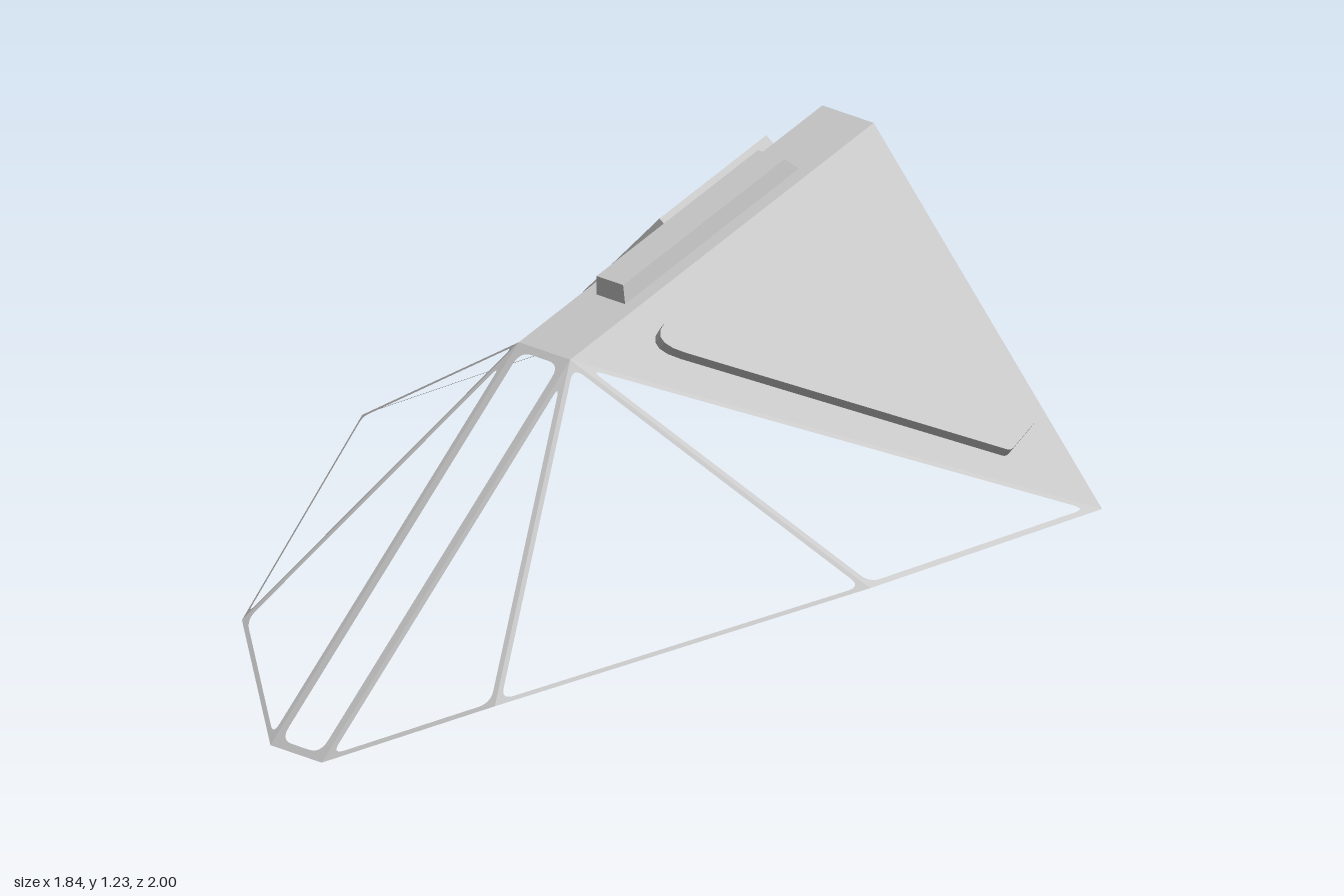
import * as THREE from 'three';

const V = (x, y, z) => new THREE.Vector3(x, y, z);

// Polygon normal (Newell's rule)
function normalOf(pts) {
  const n = V(0, 0, 0);
  pts.forEach((p, i) => n.add(p.clone().cross(pts[(i + 1) % pts.length])));
  return n.normalize();
}

// Order a loop so that its face looks upward and outward
const faceUp = (pts) => (normalOf(pts).y < 0 ? [...pts].reverse() : pts);

// Flat face through coplanar points, with an optional opening
function faceGeometry(points, hole) {
  const pts = faceUp(points);
  const n = normalOf(pts);
  const u = pts[1].clone().sub(pts[0]).normalize();
  const v = n.clone().cross(u);
  const o = pts[0];
  const flat = (p) => {
    const d = p.clone().sub(o);
    return new THREE.Vector2(d.dot(u), d.dot(v));
  };
  const shape = new THREE.Shape(pts.map(flat));
  if (hole) shape.holes.push(new THREE.Path(hole.map(flat)));
  const m = new THREE.Matrix4().makeBasis(u, v, n).setPosition(o);
  return new THREE.ShapeGeometry(shape).applyMatrix4(m);
}

// Side walls between two loops of the same length
function wallGeometry(base, cap) {
  const flip = normalOf(base).y < 0;
  const a = flip ? [...base].reverse() : base;
  const b = flip ? [...cap].reverse() : cap;
  const tris = [];
  a.forEach((p, i) => {
    const j = (i + 1) % a.length;
    tris.push(p, a[j], b[j], p, b[j], b[i]);
  });
  const g = new THREE.BufferGeometry().setFromPoints(tris);
  g.computeVertexNormals();
  return g;
}

// Round each corner of a loop; cuts gives the trimmed length per corner
function roundLoop(pts, cuts) {
  const out = [];
  pts.forEach((p, i) => {
    const cut = Array.isArray(cuts) ? cuts[i] : cuts;
    if (!cut) { out.push(p); return; }
    const prev = pts[(i + pts.length - 1) % pts.length];
    const next = pts[(i + 1) % pts.length];
    const a = p.clone().add(prev.clone().sub(p).setLength(cut));
    const b = p.clone().add(next.clone().sub(p).setLength(cut));
    out.push(...new THREE.QuadraticBezierCurve3(a, p, b).getPoints(6));
  });
  return out;
}

// Shrink a convex loop by an even border
function insetLoop(pts, w) {
  return pts.map((p, i) => {
    const d1 = pts[(i + pts.length - 1) % pts.length].clone().sub(p).normalize();
    const d2 = pts[(i + 1) % pts.length].clone().sub(p).normalize();
    const s = w / d1.clone().cross(d2).length();
    return p.clone().add(d1.add(d2).multiplyScalar(s));
  });
}

export function createModel() {
  const group = new THREE.Group();
  const grey = new THREE.MeshStandardMaterial({ color: 0xc8c8c8, side: THREE.DoubleSide });
  const add = (name, geometry) => {
    const mesh = new THREE.Mesh(geometry, grey);
    mesh.name = name;
    group.add(mesh);
  };

  // Corners of the canopy on side s (+1 left, -1 right)
  const corners = (s) => ({
    roofBack: V(0.093 * s, 1.23, -1),
    roofFront: V(0.093 * s, 0.867, 0.1),
    rear: V(0.92 * s, 0.39, -1),
    side: V(0.92 * s, 0.39, -0.16),
    cheek: V(0.458 * s, 0.18, 0.738),
    nose: V(0.093 * s, 0, 1),
  });
  const L = corners(1), R = corners(-1);

  // Window frame: a flat face with a rounded opening
  const frame = (name, pts, border, cut) =>
    add(name, faceGeometry(pts, roundLoop(insetLoop(pts, border), cut)));

  // Raised hollow cover standing on an opening in its panel
  const raisedPanel = (name, coverName, outline, base, cap) => {
    add(name, faceGeometry(outline, base));
    add(coverName + 'Walls', wallGeometry(base, cap));
    add(coverName + 'Top', faceGeometry(cap));
  };

  // Cover outlines as [x, z, corner trim], measured on the raised top
  const covers = {
    left: [[0.175, -0.794, 0], [0.249, -0.931, 0], [0.746, -0.931, 0],
      [0.76, -0.83, 0.012], [0.175, -0.077, 0.12]],
    right: [[-0.767, -0.9, 0], [-0.196, -0.9, 0], [-0.196, -0.513, 0],
      [-0.43, -0.443, 0.07], [-0.755, -0.85, 0.012]],
  };

  for (const [label, c] of [['left', L], ['right', R]]) {
    // Solid side panel with its cover
    const outline = faceUp([c.roofBack, c.roofFront, c.rear]);
    const n = normalOf(outline);
    const lift = n.clone().multiplyScalar(0.038);
    const plane = new THREE.Plane().setFromNormalAndCoplanarPoint(n, c.rear);
    const top = covers[label].map(([x, z]) => {
      const y = -(plane.constant + n.x * x + n.z * z) / n.y + 0.038 / n.y;
      return V(x, y, z);
    });
    const cap = roundLoop(top, covers[label].map((p) => p[2]));
    const base = cap.map((p) => p.clone().sub(lift));
    raisedPanel(label + 'SidePanel', label + 'SideCover', outline, base, cap);

    // Open window frames
    frame(label + 'SideWindowFrame', [c.roofFront, c.rear, c.side], 0.017, 0.035);
    frame(label + 'CheekWindowFrame', [c.roofFront, c.side, c.cheek], 0.012, 0.035);
    frame(label + 'FrontWindowFrame', [c.roofFront, c.cheek, c.nose], 0.014, 0.035);
  }

  // Narrow centre window
  frame('centreWindowFrame', [L.roofFront, R.roofFront, R.nose, L.nose], 0.022, 0.04);

  // Roof strip with its long hatch
  const roofY = (z) => 0.867 + (0.363 * (0.1 - z)) / 1.1;
  const rect = (w, front, back) => [
    V(w, front[1], front[0]), V(w, back[1], back[0]),
    V(-w, back[1], back[0]), V(-w, front[1], front[0]),
  ];
  raisedPanel('roofPanel', 'roofHatch',
    [L.roofFront, L.roofBack, R.roofBack, R.roofFront],
    rect(0.052, [-0.14, roofY(-0.14)], [-0.77, roofY(-0.77)]),
    rect(0.048, [-0.137, 0.998], [-0.722, 1.191]));

  return group;
}
